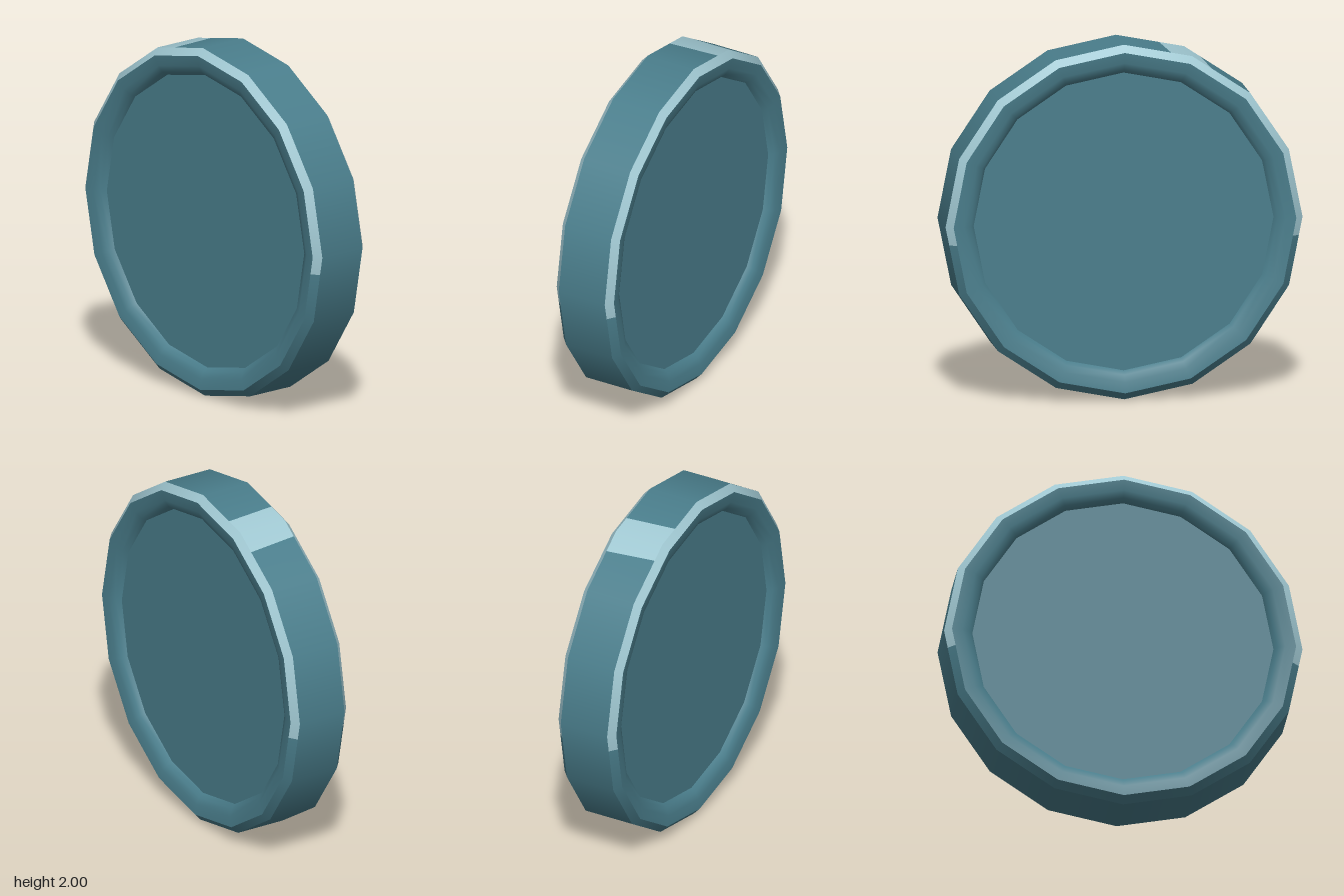
import * as THREE from 'three';

const SIDES = 16;
const STEP = 360 / SIDES;
const rad = THREE.MathUtils.degToRad;

// Angles from start to end (degrees), including every polygon corner between
function breaks(start, end) {
  const list = [start];
  for (let k = Math.floor(start / STEP) + 1; k * STEP < end - 0.01; k++) list.push(k * STEP);
  return [...list, end];
}

// Sweeps a profile of [radius, z] points around a 16-sided outline, smooth within the band.
// skew (degrees) slants the end cuts between the first and last profile point.
function band(profile, start = 0, end = 360, skew = 0) {
  const angles = breaks(start, end);
  const n = profile.length;
  const pos = [], nor = [], idx = [];
  angles.forEach((deg, i) => {
    const isEnd = i === 0 || i === angles.length - 1;
    profile.forEach(([r, z], j) => {
      const cut = deg + (isEnd ? skew * (0.5 - j / (n - 1)) : 0);
      const a = rad(cut);
      const local = rad(cut - (Math.floor(cut / STEP) + 0.5) * STEP);
      const flat = r * Math.cos(Math.PI / SIDES) / Math.cos(local);
      const p = profile[Math.max(j - 1, 0)], q = profile[Math.min(j + 1, n - 1)];
      const nr = q[1] - p[1], nz = p[0] - q[0], len = Math.hypot(nr, nz);
      pos.push(flat * Math.cos(a), flat * Math.sin(a), z);
      nor.push(nr / len * Math.cos(a), nr / len * Math.sin(a), nz / len);
      if (i && j) {
        const d = i * n + j, b = d - 1, c = d - n, o = c - 1;
        idx.push(o, b, d, o, d, c);
      }
    });
  });
  const g = new THREE.BufferGeometry();
  g.setAttribute('position', new THREE.Float32BufferAttribute(pos, 3));
  g.setAttribute('normal', new THREE.Float32BufferAttribute(nor, 3));
  g.setIndex(idx);
  return g;
}

export function createModel() {
  const teal = new THREE.MeshStandardMaterial({ color: 0x4a7e8c });
  teal.name = 'teal';
  const pale = new THREE.MeshStandardMaterial({ color: 0xa0c8d2 });
  pale.name = 'pale blue';

  const disc = new THREE.Group();
  disc.name = 'disc';
  const add = (name, geometry, material) => {
    const mesh = new THREE.Mesh(geometry, material);
    mesh.name = name;
    disc.add(mesh);
  };

  // Outer wall with one slanted pale patch near the top
  const wall = [[1, -0.147], [1, 0.147]];
  add('wall', band(wall, 119.4, 465, 1.4), teal);
  add('wallPatch', band(wall, 105, 119.4, 1.4), pale);

  // Both sides: chamfer (pale on the upper half), rounded lip, sunken face
  const chamfer = [[1, 0.147], [0.96, 0.183]];
  const lip = [[0.96, 0.183], [0.9, 0.176], [0.86, 0.158], [0.84, 0.13]];
  const face = [[0.84, 0.13], [0, 0.13]];
  for (const side of ['front', 'back']) {
    const turn = (p) => side === 'front' ? p : p.map(([r, z]) => [r, -z]).reverse();
    add(side + 'ChamferUpper', band(turn(chamfer), -6, 186), pale);
    add(side + 'ChamferLower', band(turn(chamfer), 186, 354), teal);
    add(side + 'Lip', band(turn(lip)), teal);
    add(side + 'Face', band(turn(face)), teal);
  }

  // Upright, with a barely visible lean
  disc.position.y = 1;
  disc.rotation.x = 0.008;
  const model = new THREE.Group();
  model.name = 'model';
  model.add(disc);
  return model;
}
